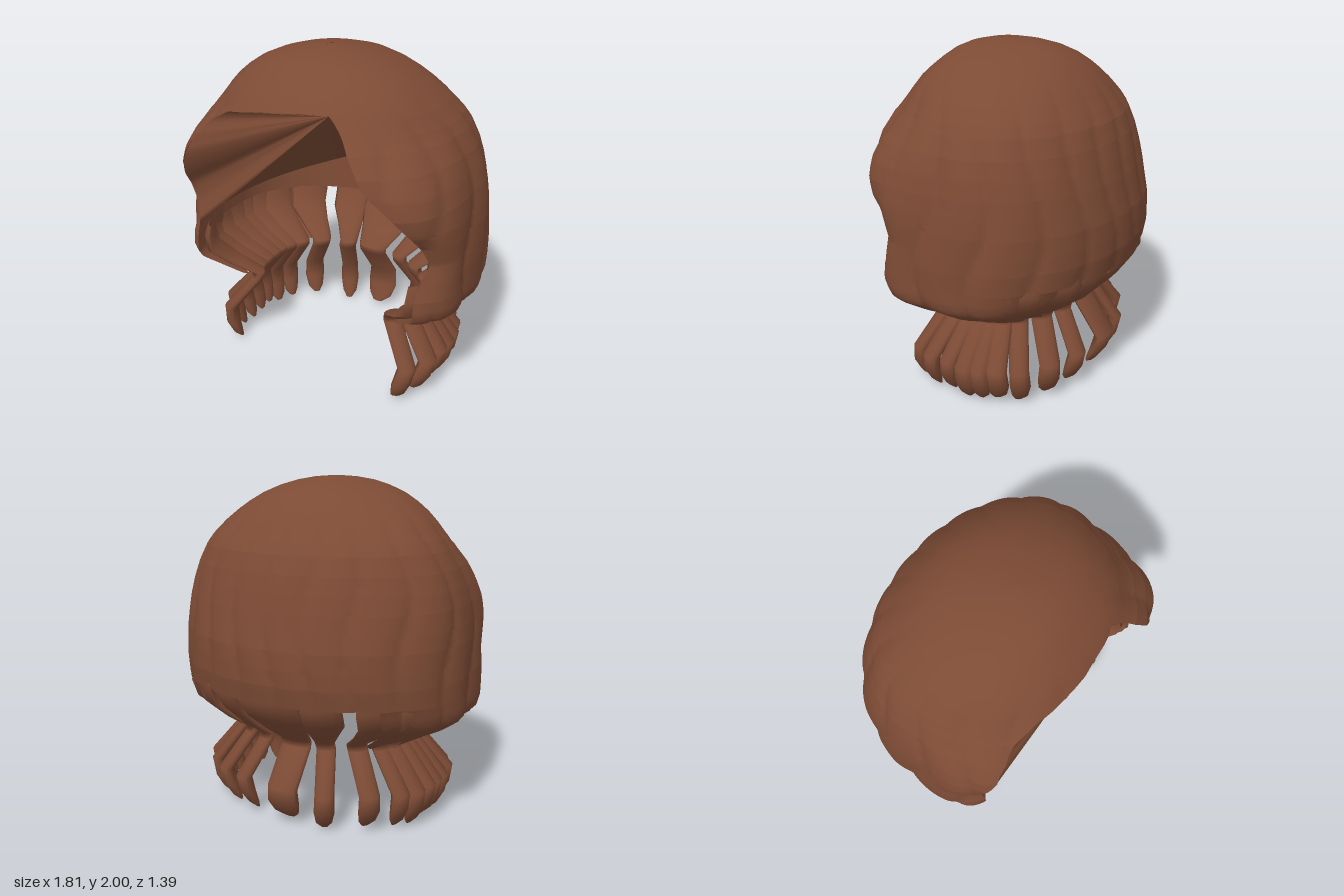
import * as THREE from 'three';

const hair = new THREE.MeshStandardMaterial({ color: 0x7d4b35, side: THREE.DoubleSide });

// Head profile: [y, half width, back z, front z]
const PROFILE = [
  [2.0, 0.03, 0.12, 0.18], [1.993, 0.13, 0.02, 0.26], [1.975, 0.23, -0.09, 0.35], [1.945, 0.33, -0.2, 0.42],
  [1.9, 0.435, -0.285, 0.48], [1.85, 0.515, -0.35, 0.54], [1.8, 0.58, -0.4, 0.595], [1.74, 0.645, -0.45, 0.64],
  [1.66, 0.715, -0.51, 0.7], [1.6, 0.755, -0.55, 0.74], [1.5, 0.805, -0.59, 0.76], [1.4, 0.84, -0.62, 0.75],
  [1.3, 0.865, -0.645, 0.715], [1.2, 0.88, -0.665, 0.66], [1.1, 0.89, -0.685, 0.58], [1.0, 0.895, -0.69, 0.53],
  [0.9, 0.9, -0.69, 0.555], [0.79, 0.9, -0.67, 0.59], [0.71, 0.9, -0.62, 0.595], [0.65, 0.885, -0.57, 0.575],
  [0.58, 0.79, -0.49, 0.49], [0.47, 0.58, -0.4, 0.38],
];
// Front opening edge: [y, right-hand x, left-hand x], meeting at the parting
const HAIRLINE = [
  [1.76, 0.25, 0.25], [1.75, 0.27, 0.05], [1.73, 0.29, -0.13], [1.68, 0.34, -0.38], [1.6, 0.4, -0.53], [1.45, 0.51, -0.67],
  [1.3, 0.66, -0.76], [1.2, 0.73, -0.8], [1.1, 0.77, -0.825], [1.0, 0.785, -0.79], [0.9, 0.76, -0.745],
  [0.8, 0.74, -0.73], [0.66, 0.73, -0.73], [0.47, 0.5, -0.5],
];
// Bottom locks: [y, half width of ring, back z, front z, half lock width, half lock thickness]
const LOCK = [
  [0.85, 0.84, -0.64, 0.5, 0.11, 0.015], [0.77, 0.85, -0.635, 0.52, 0.125, 0.035], [0.67, 0.83, -0.56, 0.52, 0.12, 0.04],
  [0.58, 0.7, -0.47, 0.45, 0.088, 0.045], [0.5, 0.55, -0.375, 0.36, 0.062, 0.04], [0.46, 0.55, -0.375, 0.36, 0.06, 0.04],
  [0.23, 0.73, -0.53, 0.48, 0.06, 0.045], [0.12, 0.71, -0.505, 0.5, 0.064, 0.045], [0.04, 0.68, -0.465, 0.49, 0.05, 0.03],
  [0.0, 0.66, -0.435, 0.47, 0.02, 0.01],
];
// Upper edge of the inner wall: [x, y], ragged across the back
const WALL_TOP = [
  [0.8, 0.8], [0.52, 0.81], [0.46, 1.02], [0.3, 1.05], [0.15, 1.0], [0, 1.21], [-0.1, 1.13], [-0.3, 1.03],
  [-0.5, 0.96], [-0.8, 0.86],
];

// Linear lookup in a table sorted by a falling key
function lookup(table, key) {
  let i = 0;
  while (i < table.length - 2 && table[i + 1][0] > key) i++;
  const a = table[i], b = table[i + 1];
  const t = THREE.MathUtils.clamp((a[0] - key) / (a[0] - b[0]), 0, 1);
  return a.map((v, k) => v + (b[k] - v) * t);
}

const mix = THREE.MathUtils.lerp;
const smoothstep = THREE.MathUtils.smoothstep;
const row = (n, f) => Array.from({ length: n + 1 }, (_, i) => f(i / n));

// Superellipse power of the front half: boxy at the cheeks, round on the dome
const power = (y) => mix(5, 2.15, smoothstep(y, 1.1, 1.68));

// Point of a horizontal section: phi is 0 at the back, growing toward +x
function section(phi, X, back, front, mid, p) {
  const s = Math.sin(phi), c = -Math.cos(phi);
  if (c <= 0) return [X * s, mid + (mid - back) * c];
  const r = (Math.abs(s) ** p + c ** p) ** (-1 / p);
  return [X * s * r, mid + (front - mid) * c * r];
}

// Point on the head, with shallow wavy grooves between locks
function headPoint(phi, y, scale = 1, grooves = true) {
  const [, X, back, front] = lookup(PROFILE, y);
  const mid = 0.15 * smoothstep(y, 1.6, 2);
  const [x, z] = section(phi, X, back, front, mid, power(y));
  const a = Math.atan2(x, z - mid);
  const fade = smoothstep(2 - y, 0.02, 0.5);
  const wave = Math.abs(Math.sin(9 * a + 0.7 * Math.sin(6 * y + 2 * a)));
  const k = scale * (grooves ? 1 + fade * (0.03 * Math.sqrt(wave) - 0.024) : 1);
  return [x * k, y, mid + (z - mid) * k];
}

// Section angles of the opening edges at a height
function edges(y) {
  const X = lookup(PROFILE, y)[1], p = power(y);
  const top = Math.min(0.25, 0.45 * X);
  const [, r, l] = y >= 1.76 ? [y, top, top] : lookup(HAIRLINE, y);
  const angle = (x) => Math.atan2(x / X, (1 - Math.abs(x / X) ** p) ** (1 / p));
  return { right: Math.PI - angle(r), left: -Math.PI - angle(l) };
}

// Skin a list of rows of points
function skin(name, rows) {
  const n = rows[0].length, index = [];
  for (let i = 0; i < rows.length - 1; i++)
    for (let j = 0; j < n - 1; j++) {
      const a = i * n + j, b = a + n;
      index.push(a, b, a + 1, b, b + 1, a + 1);
    }
  const g = new THREE.BufferGeometry();
  g.setAttribute('position', new THREE.Float32BufferAttribute(rows.flat(2), 3));
  g.setIndex(index);
  g.computeVertexNormals();
  const mesh = new THREE.Mesh(g, hair);
  mesh.name = name;
  return mesh;
}

// Fan of triangles from one point to a rim
const fan = (name, apex, rim) => skin(name, [rim.map(() => apex), rim]);

// One flicked lock, an oval swept down the ring at angle phi
function lock(phi, wide, lift) {
  return skin('lock', LOCK.map(([y, X, back, front, w, t], i) => {
    const [x, z] = section(phi, X, back, front, 0, 4);
    const out = new THREE.Vector2(x, z * 1.2).normalize();
    const yy = y + lift * smoothstep(0.5 - y, 0, 0.5);
    const bend = 0.01 * Math.sin(i + phi * 3);
    return row(12, (u) => {
      const c = Math.cos(u * 2 * Math.PI) * w * wide + bend, s = Math.sin(u * 2 * Math.PI) * t;
      return [x - out.y * c + out.x * s, yy, z + out.x * c + out.y * s];
    });
  }));
}

export function createModel() {
  const group = new THREE.Group();
  group.name = 'hair';

  // Outer cap, from the crown down to the start of the locks; columns stop at the opening edges
  const heights = [...new Set([...PROFILE, ...HAIRLINE].map((p) => p[0])
    .concat(row(16, (t) => mix(1.758, 1.602, t)), row(20, (t) => mix(1.58, 0.79, t))))]
    .filter((y) => y >= 0.79).sort((a, b) => b - a);
  group.add(skin('cap', heights.map((y) => {
    const e = edges(y);
    return row(220, (u) => headPoint(THREE.MathUtils.clamp(mix(-Math.PI - 0.7, Math.PI, u), e.left, e.right), y));
  })));
  const crown = new THREE.Mesh(new THREE.CircleGeometry(0.032, 16), hair);
  crown.name = 'crown';
  crown.rotation.x = -Math.PI / 2;
  crown.position.set(0, 1.999, 0.15);
  group.add(crown);

  // Side panels that curl in beneath the cap, with a scalloped lower edge
  for (const side of [1, -1])
    group.add(skin('sidePanel', row(12, (t) => {
      const e = edges(mix(0.79, 0.5, t));
      return row(70, (u) => {
        const phi = mix(side * 0.72, side > 0 ? e.right : e.left, u);
        return headPoint(phi, mix(0.79, 0.51 + 0.03 * Math.sin(17 * phi), t));
      });
    })));

  // Inner wall around the nape
  const LEFT = -1.95, RIGHT = 1.6;
  const inner = (phi, y) => headPoint(phi, y, 0.9, false);
  const wall = row(64, (u) => mix(LEFT, RIGHT, u));
  const wallTop = wall.map((phi) => inner(phi, lookup(WALL_TOP, inner(phi, 0.9)[0])[1]));
  group.add(skin('innerWall', [wallTop, wall.map((phi) => inner(phi, 0.79))]));

  // Lining from the parting to one opening edge and the wall, then a side lining behind the other edge
  const parting = headPoint(edges(1.76).right, 1.76);
  const corner = inner(RIGHT, 1.2);
  group.add(fan('lining', parting, [
    ...row(24, (t) => mix(1.755, 0.87, t)).map((y) => headPoint(edges(y).left, y, 1, false)),
    ...wallTop, corner,
  ]));
  group.add(fan('sideLining', corner, row(16, (t) => mix(1.76, 1.2, t)).map((y) => headPoint(edges(y).right, y))));

  // Sideburn returns joining the opening edge to the wall
  for (const [side, top, phi] of [['right', 1.2, RIGHT], ['left', 0.9, LEFT]])
    group.add(skin('sideburnReturn', row(12, (t) => {
      const y = mix(top, 0.5, t);
      return [headPoint(edges(y)[side], y), inner(phi, y)];
    })));

  // Ring of flicked locks, left open at the front
  const locks = new THREE.Group();
  locks.name = 'locks';
  locks.add(lock(0, 1.65, 0.03));
  for (const [side, angles] of [[1, [23, 40, 58]], [-1, [20, 42, 60]]])
    [...angles, 72, 83, 94, 106, 119, 132].forEach((deg, i) =>
      locks.add(lock(side * THREE.MathUtils.degToRad(deg), 0.95 + 0.1 * (i % 2), 0.012 * ((i * 2 + side + 1) % 3))));
  group.add(locks);
  return group;
}
